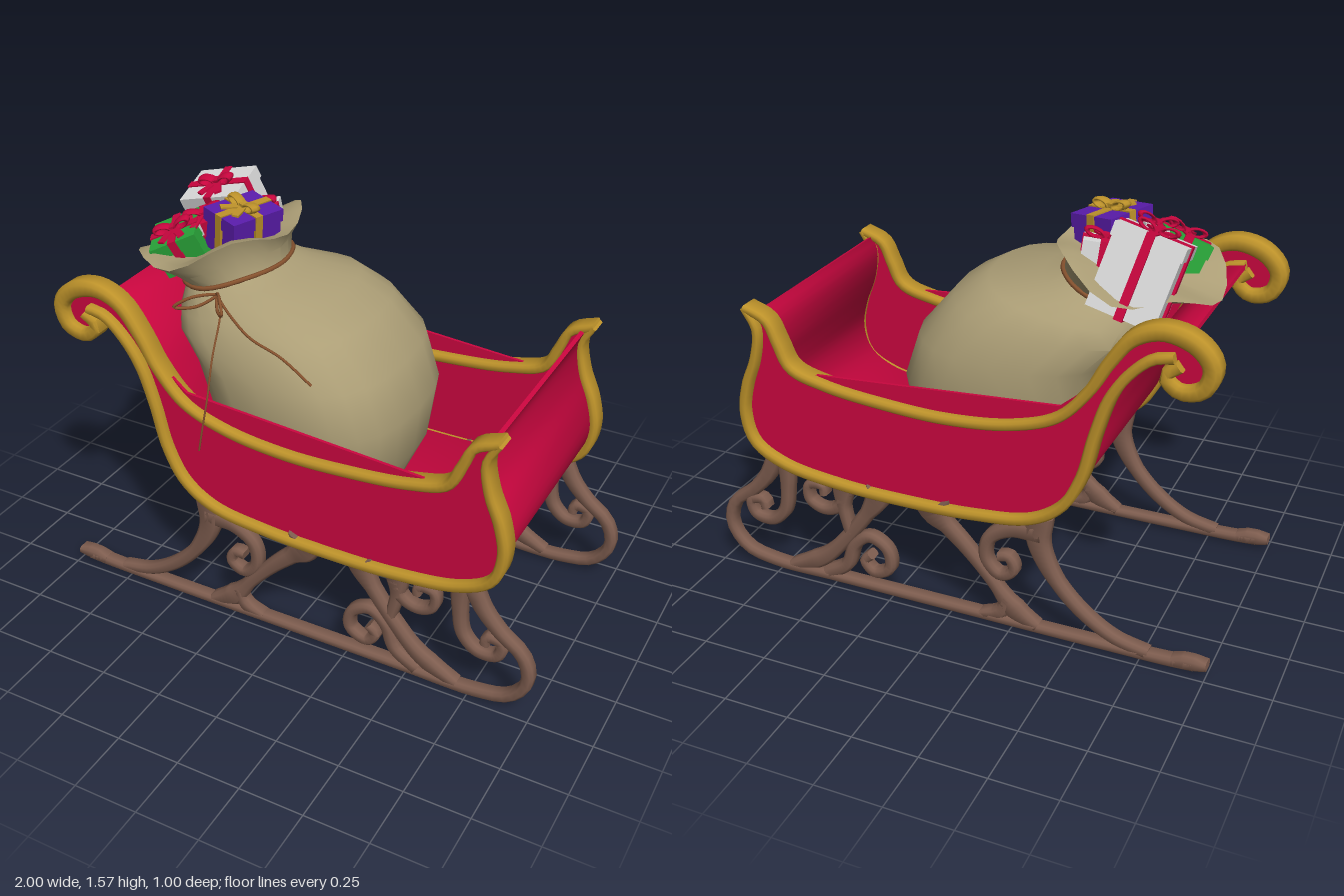
import * as THREE from 'three';
import { toCreasedNormals } from 'three/addons/utils/BufferGeometryUtils.js';

const mat = (name, color, side = THREE.FrontSide) => {
  const m = new THREE.MeshStandardMaterial({ color, side });
  m.name = name;
  return m;
};

export function createModel() {
  const red = mat('crimson', 0xca063f, THREE.DoubleSide);
  const gold = mat('gold', 0xbd922a);
  const wood = mat('brownWood', 0x7e5d4f);
  const cloth = mat('sackCloth', 0xac9e76, THREE.DoubleSide);
  const rope = mat('rope', 0x88532f);
  const purple = mat('purple', 0x5a1cab);
  const white = mat('white', 0xdcdcdc);
  const green = mat('green', 0x2aa63a);

  const model = new THREE.Group();
  const add = (parent, name, geo, material) => {
    const m = new THREE.Mesh(geo, material);
    m.name = name;
    parent.add(m);
    return m;
  };
  const group = (parent, name) => {
    const g = new THREE.Group();
    g.name = name;
    parent.add(g);
    return g;
  };

  // Chamfered bar swept along a path in the xy plane; widths are half widths spread along it
  function sweep(pts, widths, d, steps = pts.length * 5) {
    const curve = new THREE.CatmullRomCurve3(pts.map(([x, y]) => new THREE.Vector3(x, y, 0)), false, 'centripetal');
    const pos = [], idx = [];
    for (let i = 0; i <= steps; i++) {
      const u = i / steps, p = curve.getPointAt(u), t = curve.getTangentAt(u);
      const k = Math.min(u * (widths.length - 1), widths.length - 1.0001), f = Math.floor(k);
      const w = widths.length === 1 ? widths[0] : THREE.MathUtils.lerp(widths[f], widths[f + 1], k - f);
      const c = Math.min(w, d) * 0.45;
      const ring = [[w, d - c], [w, c - d], [w - c, -d], [c - w, -d], [-w, c - d], [-w, d - c], [c - w, d], [w - c, d]];
      for (const [n, z] of ring) pos.push(p.x - t.y * n, p.y + t.x * n, z);
    }
    for (let i = 0; i < steps; i++) for (let j = 0; j < 8; j++) {
      const a = i * 8 + j, b = a + 8, e = i * 8 + (j + 1) % 8;
      idx.push(a, b, e + 8, a, e + 8, e);
    }
    const last = steps * 8;
    for (let j = 1; j < 7; j++) idx.push(0, j, j + 1, last, last + j + 1, last + j);
    const g = new THREE.BufferGeometry();
    g.setAttribute('position', new THREE.Float32BufferAttribute(pos, 3));
    g.setIndex(idx);
    return toCreasedNormals(g, 0.9);
  }

  // Outlines of the sleigh side
  const curl = [[-0.84, 1.19], [-0.79, 1.15], [-0.84, 1.1], [-0.92, 1.12], [-0.945, 1.2], [-0.89, 1.27]];
  const upper = [[-0.78, 1.3], [-0.68, 1.262], [-0.6, 1.16], [-0.53, 1.04], [-0.42, 0.92], [-0.25, 0.855], [0, 0.825],
    [0.25, 0.832], [0.5, 0.86], [0.64, 0.905], [0.69, 1], [0.73, 1.08], [0.82, 1.12]];
  const lower = [[0.82, 1.12], [0.775, 1.04], [0.79, 0.92], [0.835, 0.8], [0.855, 0.68], [0.82, 0.56], [0.7, 0.49],
    [0.45, 0.452], [0.15, 0.445], [-0.1, 0.455], [-0.32, 0.49], [-0.44, 0.57], [-0.51, 0.7], [-0.555, 0.88],
    [-0.605, 1.03], [-0.67, 1.13], [-0.75, 1.2], [-0.82, 1.215]];

  // Side panel, whose top runs straight just above the dip of the trim
  const panelTop = [[-0.78, 1.3], [-0.68, 1.26], [-0.6, 1.16], [-0.52, 1.04], [-0.42, 0.955], [0.58, 0.885], [0.65, 0.92], [0.71, 1.05]];
  const panelPts = [...panelTop, ...lower, ...curl.slice(1)].map(([x, y]) => new THREE.Vector2(x, y));
  const panelGeo = new THREE.ExtrudeGeometry(new THREE.Shape(panelPts), { depth: 0.012, bevelEnabled: false });
  panelGeo.translate(0, 0, -0.006);

  const upperTrim = sweep([...curl, ...upper], [0.02, 0.03, 0.033, 0.025, 0.02, 0.018, 0.018, 0.018, 0.018, 0.018, 0.02, 0.014], 0.042);
  const lowerTrim = sweep(lower, [0.012, 0.02, 0.02, 0.019, 0.019, 0.019, 0.02, 0.02, 0.016], 0.042);

  // Runner bars: path, then half widths
  const runnerParts = {
    railTip: [[[-1, 0.038], [-0.985, 0.037], [-0.93, 0.035], [-0.87, 0.028]], [0.016, 0.028, 0.029, 0.018]],
    rail: [[[-0.95, 0.03], [-0.85, 0.024], [-0.5, 0.02], [0, 0.02], [0.5, 0.02], [0.78, 0.022], [0.91, 0.055], [0.975, 0.15],
      [0.95, 0.255], [0.86, 0.33], [0.79, 0.41], [0.75, 0.49]], [0.022, 0.018, 0.018, 0.018, 0.018, 0.018, 0.02, 0.022, 0.024, 0.035]],
    rearStrut: [[[-0.35, 0.5], [-0.35, 0.39], [-0.41, 0.26], [-0.52, 0.14], [-0.65, 0.06], [-0.78, 0.03]], [0.055, 0.04, 0.028, 0.026, 0.022, 0.02]],
    rearScroll: [[[-0.36, 0.43], [-0.24, 0.42], [-0.155, 0.36], [-0.145, 0.27], [-0.2, 0.215], [-0.255, 0.25], [-0.235, 0.3], [-0.195, 0.295]], [0.04, 0.03, 0.024, 0.022, 0.018]],
    middleStrut: [[[-0.35, 0.025], [-0.25, 0.08], [-0.16, 0.19], [-0.06, 0.3], [0.02, 0.375], [0.06, 0.415], [0.075, 0.452]], [0.02, 0.042, 0.026, 0.026, 0.03, 0.034, 0.075]],
    middleFoot: [[[-0.12, 0.025], [-0.2, 0.05], [-0.23, 0.12]], [0.012, 0.03, 0.02]],
    frontStrut: [[[0.295, 0.452], [0.31, 0.41], [0.36, 0.33], [0.44, 0.22], [0.55, 0.1], [0.7, 0.025]], [0.055, 0.03, 0.028, 0.03, 0.036, 0.02]],
    lowerScroll: [[[0.54, 0.03], [0.45, 0.09], [0.41, 0.19], [0.345, 0.24], [0.27, 0.2], [0.262, 0.12], [0.33, 0.085], [0.37, 0.13], [0.34, 0.16]], [0.028, 0.026, 0.022, 0.022, 0.018]],
    upperBrace: [[[0.45, 0.45], [0.455, 0.36], [0.43, 0.24]], [0.05, 0.024, 0.02]],
    upperScroll: [[[0.44, 0.42], [0.475, 0.345], [0.54, 0.32], [0.6, 0.35], [0.6, 0.415], [0.54, 0.42], [0.535, 0.385]], [0.03, 0.022, 0.018, 0.016]],
    frontScroll: [[[0.7, 0.49], [0.7, 0.39], [0.72, 0.27], [0.78, 0.215], [0.855, 0.225], [0.87, 0.285], [0.815, 0.295], [0.805, 0.26]], [0.036, 0.026, 0.024, 0.022, 0.018]],
  };
  const runnerGeos = Object.entries(runnerParts).map(([n, [p, w]]) => [n, sweep(p, w, 0.028)]);

  for (const [name, z] of [['frontSide', 0.452], ['backSide', -0.452]]) {
    const side = group(model, name);
    side.position.z = z;
    add(side, 'sidePanel', panelGeo, red);
    add(side, 'upperTrim', upperTrim, gold);
    add(side, 'lowerTrim', lowerTrim, gold);
    const runner = group(side, 'runner');
    runnerGeos.forEach(([n, g]) => add(runner, n, g, wood));
  }

  // Curved sheet forming dash, floor and seat back, set slightly inside the trim
  const sheet = lower.slice(1).map(([x, y]) => [x > 0.75 ? x - 0.015 : x, y < 0.6 ? y + 0.017 : y]);
  add(model, 'body', sweep([[0.78, 1.1], ...sheet], [0.008], 0.43), red);

  // Sack: tilted rings [x, y, z, radiusX, radiusZ, tilt, waviness, squareness power]
  const rings = [
    [-0.08, 0.48, 0, 0.02, 0.02, 0, 0, 1], [-0.08, 0.49, 0, 0.3, 0.3, 0, 0, 0.8], [-0.08, 0.65, 0, 0.37, 0.38, 0, 0, 0.75],
    [-0.085, 0.86, 0, 0.4, 0.425, 0, 0, 0.75], [-0.14, 1.03, 0, 0.395, 0.425, 0.03, 0, 0.75], [-0.25, 1.15, 0, 0.38, 0.385, 0.12, 0, 0.78],
    [-0.32, 1.215, 0, 0.325, 0.345, 0.17, 0, 0.85], [-0.42, 1.25, 0, 0.23, 0.28, 0.2, 0.002, 1], [-0.46, 1.28, 0, 0.19, 0.24, 0.24, 0.004, 1],
    [-0.51, 1.32, -0.02, 0.23, 0.28, 0.28, 0.012, 1], [-0.56, 1.37, -0.04, 0.305, 0.355, 0.27, 0.03, 1],
    [-0.56, 1.37, -0.04, 0.26, 0.3, 0.27, 0.028, 1], [-0.54, 1.33, -0.03, 0.02, 0.02, 0.3, 0, 1]];
  const N = 24;
  const bend = (v, e) => Math.sign(v) * Math.abs(v) ** e;
  const ringPoint = ([x, y, z, rx, rz, tilt, wave, e], a, scale = 1) => {
    // the mouth is pressed in and down where the tall present leans out
    const notch = wave * Math.max(0, Math.cos(a + 2)) ** 8;
    const k = scale * (1 - notch * 6);
    const r = bend(Math.cos(a), e) * rx * k;
    const lift = wave * (0.5 * Math.sin(a) - Math.cos(a * 4)) - notch;
    return new THREE.Vector3(x + r * Math.cos(tilt), y + r * Math.sin(tilt) + lift, z + bend(Math.sin(a), e) * rz * k);
  };
  const pos = [], idx = [];
  rings.forEach((ring, i) => {
    for (let j = 0; j < N; j++) {
      pos.push(...ringPoint(ring, j / N * Math.PI * 2).toArray());
      if (i === rings.length - 1) continue;
      const a = i * N + j, b = i * N + (j + 1) % N;
      idx.push(a, a + N, b + N, a, b + N, b);
    }
  });
  const sackGeo = new THREE.BufferGeometry();
  sackGeo.setAttribute('position', new THREE.Float32BufferAttribute(pos, 3));
  sackGeo.setIndex(idx);
  add(model, 'sack', toCreasedNormals(sackGeo, 0.7), cloth);

  // Rope around the neck with a bow and two loose ends
  const tie = group(model, 'sackTie');
  const cord = (name, pts, r, closed = false) => add(tie, name, new THREE.TubeGeometry(
    new THREE.CatmullRomCurve3(pts.map(p => p.isVector3 ? p : new THREE.Vector3(...p)), closed), 40, r, 6, closed), rope);
  cord('neckCord', Array.from({ length: 16 }, (_, j) => ringPoint(rings[8], j / 16 * Math.PI * 2, 1.03)), 0.009, true);
  const knot = [-0.39, 1.28, 0.27];
  cord('hangingEnd', [knot, [-0.33, 1.26, 0.34], [-0.31, 1.12, 0.44], [-0.31, 0.98, 0.485], [-0.33, 0.85, 0.5], [-0.35, 0.75, 0.5]], 0.004);
  cord('slantedEnd', [knot, [-0.3, 1.25, 0.33], [-0.18, 1.21, 0.385], [-0.05, 1.17, 0.395], [0.08, 1.1, 0.41]], 0.005);
  cord('bowLoopA', [knot, [-0.34, 1.31, 0.33], [-0.3, 1.27, 0.38], [-0.35, 1.25, 0.33]], 0.006, true);
  cord('bowLoopB', [knot, [-0.46, 1.28, 0.33], [-0.52, 1.24, 0.36], [-0.45, 1.24, 0.32]], 0.006, true);

  // Wrapped presents with ribbons and bows
  function present(name, [w, h, d], p, r, paper, ribbon) {
    const g = group(model, name);
    g.position.set(...p);
    g.rotation.set(...r);
    add(g, 'box', new THREE.BoxGeometry(w, h, d), paper);
    add(g, 'lid', new THREE.BoxGeometry(w + 0.012, 0.05, d + 0.012), paper).position.y = h / 2 - 0.023;
    add(g, 'ribbonAcross', new THREE.BoxGeometry(0.032, h + 0.014, d + 0.02), ribbon);
    add(g, 'ribbonAlong', new THREE.BoxGeometry(w + 0.02, h + 0.014, 0.032), ribbon);
    const bow = group(g, 'bow');
    bow.position.y = h / 2 + 0.01;
    add(bow, 'knot', new THREE.BoxGeometry(0.032, 0.026, 0.032), ribbon);
    for (const s of [-1, 1]) {
      const loop = add(bow, 'bowLoop', new THREE.TorusGeometry(0.024, 0.008, 6, 12), ribbon);
      loop.scale.set(1.3, 0.6, 2.6);
      loop.position.set(s * 0.04, 0.008, 0);
      loop.rotation.z = s * 0.25;
      const tail = add(bow, 'bowTail', new THREE.BoxGeometry(0.028, 0.008, 0.08), ribbon);
      tail.position.set(s * 0.024, -0.001, 0.04);
      tail.rotation.y = s * 0.5;
    }
  }
  present('whitePresent', [0.25, 0.3, 0.18], [-0.605, 1.37, -0.2], [0.28, 0.08, 0.25], white, red);
  present('purplePresent', [0.17, 0.16, 0.22], [-0.43, 1.435, 0.01], [0, -0.35, -0.1], purple, gold);
  present('greenPresent', [0.18, 0.14, 0.17], [-0.64, 1.36, 0.1], [0.2, 0.45, 0.35], green, red);
  present('smallPresent', [0.1, 0.1, 0.1], [-0.57, 1.42, 0.03], [0.2, 0.6, 0.2], white, red);
  present('hiddenPresent', [0.14, 0.14, 0.12], [-0.45, 1.39, -0.15], [0.1, 0.3, 0.1], white, red);

  return model;
}
